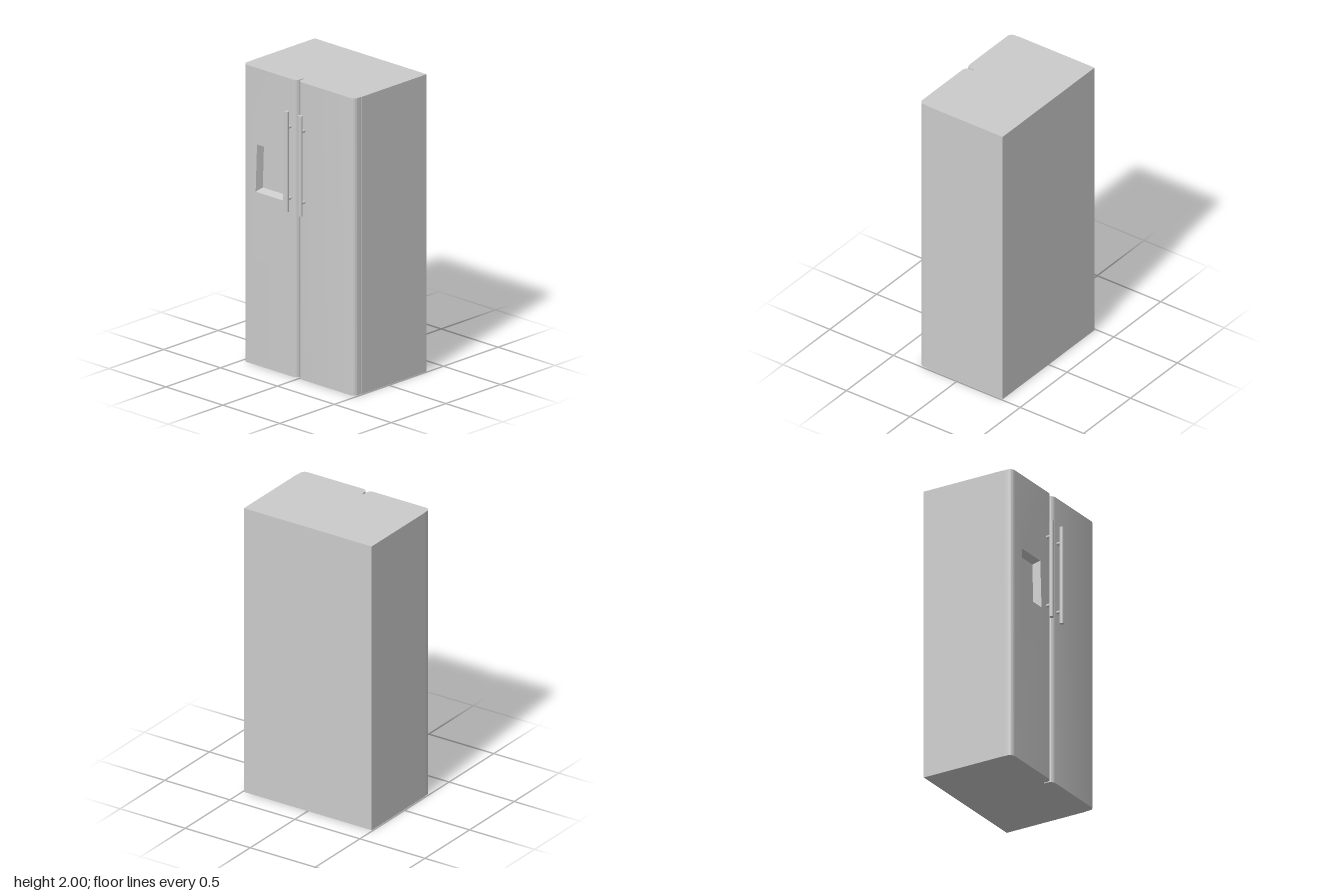
import * as THREE from 'three';
import { mergeGeometries, toCreasedNormals } from 'three/addons/utils/BufferGeometryUtils.js';

const HEIGHT = 2, BACK = -0.355, SEAM = 0.243, FRONT = 0.305, R = 0.035;
const material = new THREE.MeshStandardMaterial({ color: 0xcccccc });

// Dispenser recess corners, counter-clockwise from bottom left
const OPENING = [[-0.378, 1.165], [-0.138, 1.165], [-0.152, 1.486], [-0.366, 1.486]];
const RECESS_BACK = [[-0.368, 1.182], [-0.148, 1.182], [-0.16, 1.47], [-0.358, 1.47]];
const RECESS_Z = FRONT - 0.055;

const points = (list) => list.map(([x, y]) => new THREE.Vector2(x, y));

function add(parent, name, geometry) {
  const mesh = new THREE.Mesh(geometry, material);
  mesh.name = name;
  parent.add(mesh);
  return mesh;
}

// Door slab with rounded front edges, extruded upwards from its plan
function doorGeometry(x0, x1) {
  const plan = new THREE.Shape();
  plan.moveTo(x0, -SEAM);
  plan.lineTo(x0, -FRONT + R);
  plan.absarc(x0 + R, -FRONT + R, R, Math.PI, 1.5 * Math.PI, false);
  plan.absarc(x1 - R, -FRONT + R, R, 1.5 * Math.PI, 2 * Math.PI, false);
  plan.lineTo(x1, -SEAM);
  const geometry = new THREE.ExtrudeGeometry(plan, { depth: HEIGHT, bevelEnabled: false, curveSegments: 8 });
  geometry.rotateX(-Math.PI / 2);
  geometry.deleteAttribute('uv');
  return geometry;
}

// Same slab with its flat front replaced by a panel with an opening
function dispenserDoorGeometry(x0, x1) {
  const slab = doorGeometry(x0, x1);
  const p = slab.attributes.position;
  const kept = [];
  for (let i = 0; i < p.count; i += 3) {
    const isFront = [0, 1, 2].every((k) => p.getZ(i + k) > FRONT - 1e-5);
    if (!isFront) for (let k = 0; k < 3; k++) kept.push(p.getX(i + k), p.getY(i + k), p.getZ(i + k));
  }
  const shell = new THREE.BufferGeometry();
  shell.setAttribute('position', new THREE.Float32BufferAttribute(kept, 3));

  const outline = new THREE.Shape(points([[x0 + R, 0], [x1 - R, 0], [x1 - R, HEIGHT], [x0 + R, HEIGHT]]));
  outline.holes.push(new THREE.Path(points(OPENING)));
  const panel = new THREE.ShapeGeometry(outline).toNonIndexed().translate(0, 0, FRONT);
  panel.deleteAttribute('uv');
  panel.deleteAttribute('normal');
  return toCreasedNormals(mergeGeometries([shell, panel]), Math.PI / 6);
}

// Four sloping walls and the back of the recess
function recessGeometry() {
  const wall = [];
  for (let i = 0; i < 4; i++) {
    const j = (i + 1) % 4;
    const a = [...OPENING[i], FRONT], b = [...OPENING[j], FRONT];
    const c = [...RECESS_BACK[j], RECESS_Z], d = [...RECESS_BACK[i], RECESS_Z];
    wall.push(...a, ...b, ...c, ...a, ...c, ...d);
  }
  const walls = new THREE.BufferGeometry();
  walls.setAttribute('position', new THREE.Float32BufferAttribute(wall, 3));
  walls.computeVertexNormals();
  const back = new THREE.ShapeGeometry(new THREE.Shape(points(RECESS_BACK))).toNonIndexed();
  back.translate(0, 0, RECESS_Z).deleteAttribute('uv');
  return mergeGeometries([walls, back]);
}

// Vertical bar on two short posts
function makeHandle(name, x) {
  const handle = new THREE.Group();
  handle.name = name;
  const z = 0.339, y0 = 1.115, y1 = 1.79;
  add(handle, 'handleBar', new THREE.CylinderGeometry(0.0145, 0.0145, y1 - y0, 24))
    .position.set(x, (y0 + y1) / 2, z);
  for (const y of [1.2, 1.68]) {
    const post = add(handle, 'handlePost', new THREE.CylinderGeometry(0.011, 0.011, z - FRONT, 16, 1, true));
    post.rotation.x = Math.PI / 2;
    post.position.set(x, y, (z + FRONT) / 2);
  }
  return handle;
}

export function createModel() {
  const fridge = new THREE.Group();
  fridge.name = 'refrigerator';

  add(fridge, 'cabinet', new THREE.BoxGeometry(0.983, HEIGHT, SEAM - BACK))
    .position.set(0, HEIGHT / 2, (SEAM + BACK) / 2);

  add(fridge, 'leftDoor', toCreasedNormals(doorGeometry(-0.008, 0.488), Math.PI / 6));
  add(fridge, 'rightDoor', dispenserDoorGeometry(-0.489, -0.018));
  add(fridge, 'dispenserRecess', recessGeometry());

  fridge.add(makeHandle('rightHandle', -0.073), makeHandle('leftHandle', 0.048));
  return fridge;
}
